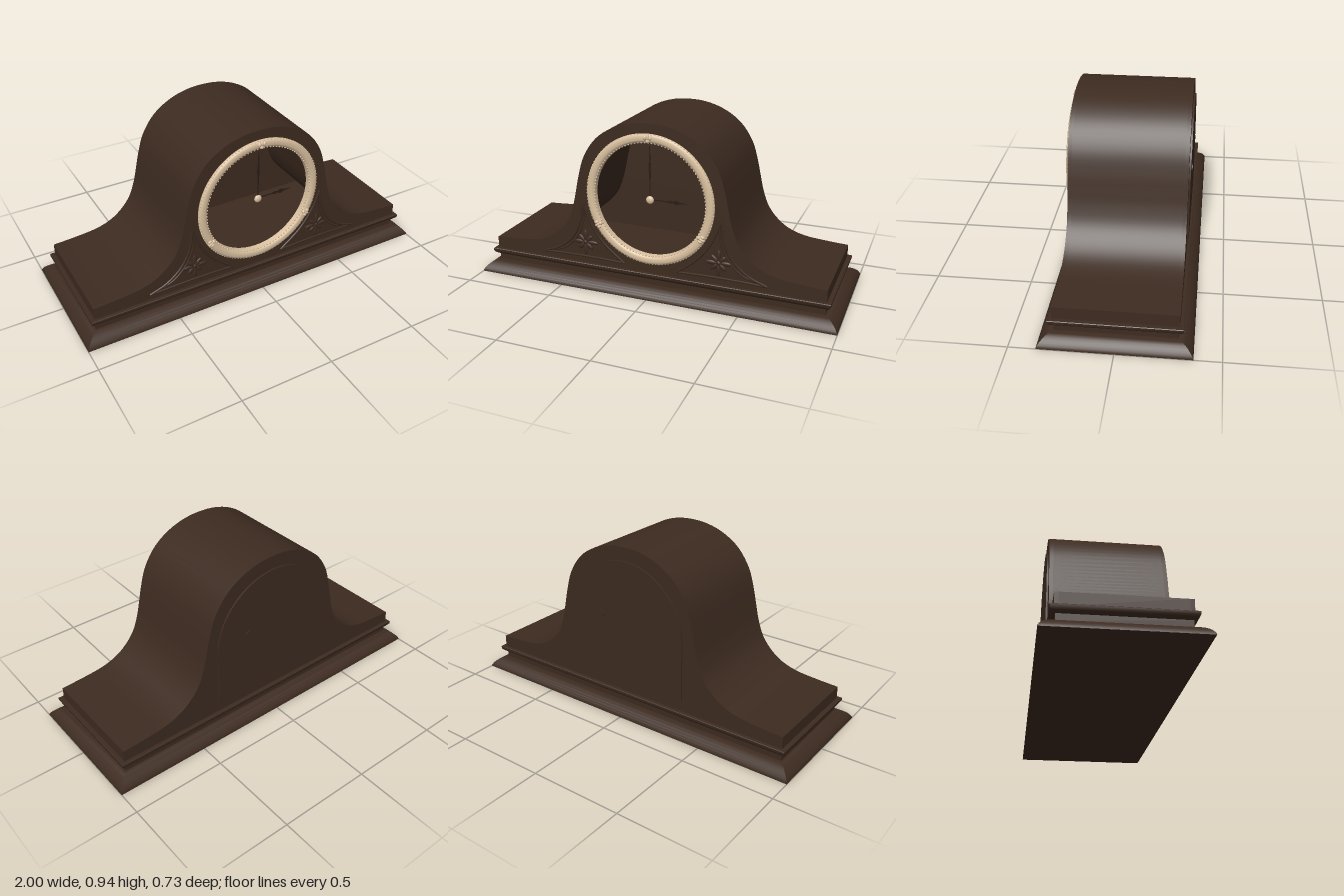
import * as THREE from 'three';
import { mergeGeometries, toCreasedNormals } from 'three/addons/utils/BufferGeometryUtils.js';

const V2 = (x, y) => new THREE.Vector2(x, y);
const DIAL_Y = 0.535;

// Stacked rectangular moulding; profile rows are [inset, y]
function moulding(profile, hx, hz) {
  const pos = [];
  const corners = [[1, 1], [1, -1], [-1, -1], [-1, 1]];
  const at = ([d, y], [sx, sz]) => [sx * (hx - d), y, sz * (hz - d)];
  const quad = (a, b, c, d) => pos.push(...a, ...b, ...c, ...a, ...c, ...d);
  for (let i = 0; i < profile.length - 1; i++) {
    for (let k = 0; k < 4; k++) {
      const a = corners[k], b = corners[(k + 1) % 4];
      quad(at(profile[i], a), at(profile[i], b), at(profile[i + 1], b), at(profile[i + 1], a));
    }
  }
  const first = profile[0], last = profile[profile.length - 1];
  quad(...corners.map((c) => at(last, c)));
  quad(...[3, 2, 1, 0].map((k) => at(first, corners[k])));
  const g = new THREE.BufferGeometry();
  g.setAttribute('position', new THREE.Float32BufferAttribute(pos, 3));
  g.computeVertexNormals();
  return toCreasedNormals(g, 0.6);
}

function extrude(shape, z0, depth, curveSegments = 48) {
  const g = new THREE.ExtrudeGeometry(shape, { depth, bevelEnabled: false, curveSegments });
  g.translate(0, 0, z0);
  return toCreasedNormals(g, 0.5);
}

export function createModel() {
  const wood = new THREE.MeshStandardMaterial({ color: 0x3d2b20 });
  wood.name = 'darkWood';
  const brass = new THREE.MeshStandardMaterial({ color: 0xd9c09f });
  brass.name = 'paleBrass';
  const dark = new THREE.MeshStandardMaterial({ color: 0x2a1d17, side: THREE.DoubleSide });
  dark.name = 'handDark';

  const model = new THREE.Group();
  model.name = 'mantelClock';
  const add = (name, geo, mat, parent = model) => {
    const m = new THREE.Mesh(geo, mat);
    m.name = name;
    parent.add(m);
    return m;
  };

  // Plinth: rounded foot, recessed band, projecting moulding
  const profile = [[0, 0], [0, 0.005], [0.006, 0.016], [0.014, 0.027], [0.024, 0.037], [0.037, 0.047],
    [0.052, 0.055], [0.068, 0.06], [0.073, 0.06], [0.073, 0.096], [0.064, 0.096], [0.054, 0.104],
    [0.048, 0.113], [0.047, 0.127], [0.05, 0.13]];
  add('plinth', moulding(profile, 1, 0.367), wood);

  // Body outline: arch flowing into low shoulders
  const half = [[0.1, 0.929], [0.2, 0.896], [0.295, 0.832], [0.367, 0.73], [0.402, 0.62], [0.422, 0.53],
    [0.441, 0.45], [0.476, 0.36], [0.535, 0.289], [0.6, 0.244], [0.685, 0.216], [0.8, 0.203], [0.93, 0.195]];
  const all = [...half.map(([x, y]) => [-x, y]).reverse(), [0, 0.938], ...half];
  const curve = new THREE.CatmullRomCurve3(all.map(([x, y]) => new THREE.Vector3(x, y, 0)));
  const outer = [], inner = [];
  const N = 104, T = 0.03;
  for (let i = 0; i <= N; i++) {
    const p = curve.getPoint(i / N), t = curve.getTangent(i / N);
    outer.push(V2(p.x, p.y));
    const x = p.x + t.y * T;
    if (Math.abs(x) < 0.9) inner.push(V2(x, p.y - t.x * T));
  }
  const outline = () => new THREE.Shape([V2(-0.93, 0.128), ...outer, V2(0.93, 0.128)]);

  // Hollow case between front and back boards
  const shell = outline();
  shell.holes.push(new THREE.Path([V2(-0.9, 0.132), ...inner, V2(0.9, 0.132)].reverse()));
  add('caseShell', extrude(shell, -0.28, 0.56), wood);
  add('backBoard', extrude(outline(), -0.3, 0.02), wood);
  const front = outline();
  front.holes.push(new THREE.Path().absarc(0, DIAL_Y, 0.31, 0, Math.PI * 2, false));
  add('frontBoard', extrude(front, 0.28, 0.02), wood);

  // Back door with knob
  const door = new THREE.Shape();
  door.moveTo(-0.355, 0.195);
  door.lineTo(0.355, 0.195);
  door.absarc(0, 0.51, 0.355, 0, Math.PI, false);
  door.closePath();
  add('backDoor', extrude(door, -0.309, 0.01), wood);
  const knob = add('doorKnob', new THREE.CylinderGeometry(0.02, 0.02, 0.008, 20), wood);
  knob.rotation.x = Math.PI / 2;
  knob.position.set(0.16, 0.545, -0.31);

  // Brass bezel with finely beaded edges
  const bezel = new THREE.Group();
  bezel.name = 'bezel';
  bezel.position.set(0, DIAL_Y, 0.3);
  model.add(bezel);
  const section = [[0.303, -0.018], [0.35, -0.002], [0.352, 0.006], [0.347, 0.015], [0.337, 0.02],
    [0.32, 0.02], [0.31, 0.015], [0.304, 0.006], [0.303, -0.018]];
  const ring = new THREE.LatheGeometry(section.map(([r, z]) => V2(r, z)), 96);
  ring.rotateX(Math.PI / 2);
  add('bezelRing', ring, brass, bezel);
  const beads = [];
  for (const [r, n] of [[0.348, 120], [0.306, 104]]) {
    for (let i = 0; i < n; i++) {
      const a = (i / n) * Math.PI * 2;
      beads.push(new THREE.SphereGeometry(0.005, 6, 5).translate(r * Math.cos(a), r * Math.sin(a), 0.01));
    }
  }
  add('bezelBeads', mergeGeometries(beads), brass, bezel);

  // Three small leaf ornaments on the bezel
  for (const deg of [90, 210, 330]) {
    const a = deg * Math.PI / 180;
    const leaf = new THREE.Group();
    leaf.name = 'bezelOrnament';
    leaf.position.set(0.328 * Math.cos(a), 0.328 * Math.sin(a), 0.017);
    leaf.rotation.z = a - Math.PI / 2;
    bezel.add(leaf);
    for (const [x, y, w, h] of [[0, 0.006, 0.009, 0.018], [-0.014, 0.004, 0.01, 0.013], [0.014, 0.004, 0.01, 0.013], [0, -0.012, 0.011, 0.01]]) {
      const s = add('ornamentLobe', new THREE.SphereGeometry(1, 12, 8), brass, leaf);
      s.scale.set(w, h, 0.011);
      s.position.set(x, y, 0);
    }
  }

  // Clock hands and centre cap
  const hand = (name, pts, z, angle) => {
    const s = new THREE.Shape([...pts.map(([x, y]) => V2(x, y)), ...pts.map(([x, y]) => V2(-x, y)).reverse()]);
    const m = add(name, extrude(s, 0, 0.003), dark);
    m.position.set(0, DIAL_Y, z);
    m.rotation.z = angle;
  };
  hand('minuteHand', [[0.003, 0], [0.003, 0.1], [0.007, 0.17], [0.003, 0.22], [0.001, 0.285]], 0.29, 0);
  hand('hourHand', [[0.003, 0], [0.003, 0.09], [0.009, 0.11], [0.004, 0.12], [0.013, 0.14], [0.004, 0.165], [0.001, 0.2]], 0.285, -Math.PI / 2);
  const cap = add('handCap', new THREE.SphereGeometry(0.021, 20, 14), brass);
  cap.scale.z = 0.6;
  cap.position.set(0, DIAL_Y, 0.293);

  // Carved corner panels, mirrored either side of the dial
  for (const side of [1, -1]) {
    const panel = new THREE.Group();
    panel.name = side > 0 ? 'leftCarving' : 'rightCarving';
    model.add(panel);
    const bar = (pts, r) => {
      const c = new THREE.CatmullRomCurve3(pts.map(([x, y]) => new THREE.Vector3(side * x, y, 0.3)));
      add('carvedRib', new THREE.TubeGeometry(c, 24, r, 6), wood, panel);
    };
    bar([[0.385, 0.47], [0.4, 0.37], [0.45, 0.27], [0.53, 0.2], [0.63, 0.16]], 0.007);
    bar([[0.375, 0.46], [0.385, 0.36], [0.43, 0.265], [0.5, 0.2], [0.57, 0.175]], 0.005);
    bar([[0.385, 0.47], [0.34, 0.36], [0.27, 0.26], [0.15, 0.16]], 0.007);
    bar([[0.15, 0.16], [0.3, 0.165], [0.45, 0.165], [0.63, 0.16]], 0.006);
    for (let i = 0; i < 8; i++) {
      const a = (i / 8) * Math.PI * 2 + Math.PI / 2;
      const len = i % 2 ? 0.028 : 0.037;
      const petal = add('carvedPetal', new THREE.SphereGeometry(1, 12, 8), wood, panel);
      petal.scale.set(len, 0.012, 0.007);
      petal.rotation.z = a;
      petal.position.set(side * 0.375 + Math.cos(a) * len, 0.248 + Math.sin(a) * len, 0.3);
    }
    const boss = add('carvedBoss', new THREE.SphereGeometry(0.013, 12, 8), wood, panel);
    boss.scale.z = 0.7;
    boss.position.set(side * 0.375, 0.248, 0.3);
  }

  return model;
}
